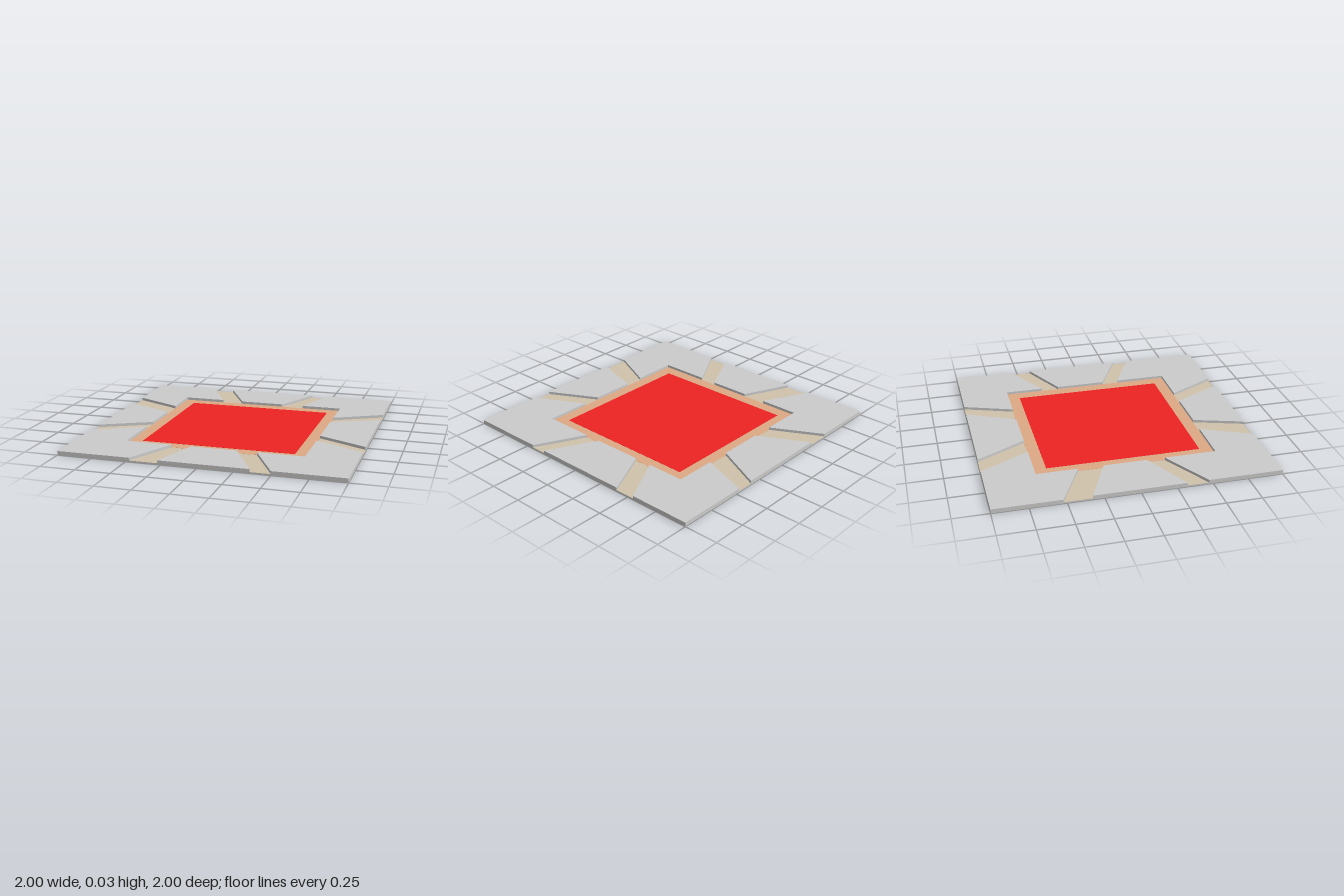
import * as THREE from 'three';

const BASE_TOP = 0.01;
const BLOCK_TOP = 0.03;
const INNER = 0.643; // half width of the plaza

const material = (color) => new THREE.MeshStandardMaterial({ color, flatShading: true });

// Flat slab from [x, z] corners, between two heights
function slab(name, corners, bottom, top, mat) {
  const shape = new THREE.Shape(corners.map(([x, z]) => new THREE.Vector2(x, -z)));
  const geometry = new THREE.ExtrudeGeometry(shape, { depth: top - bottom, bevelEnabled: false });
  geometry.rotateX(-Math.PI / 2).translate(0, bottom, 0);
  const mesh = new THREE.Mesh(geometry, mat);
  mesh.name = name;
  return mesh;
}

const square = (r) => [[-r, -r], [r, -r], [r, r], [-r, r]];

export function createModel() {
  const group = new THREE.Group();
  group.name = 'townSquare';
  const grey = material(0xcccccc);

  // Base plate, path layer and central plaza
  group.add(
    slab('basePlate', square(1), 0, 0.008, grey),
    slab('pathLayer', square(1), 0.008, BASE_TOP, material(0xd0c3ac)),
    slab('plazaBorder', square(INNER), BASE_TOP, 0.0108, material(0xdda985)),
    slab('plazaCentre', square(0.555), 0.0108, 0.0116, material(0xee2222))
  );

  // Each side has two paths; a path is [outer start, outer end, inner start, inner end],
  // measured along the side, going clockwise seen from above
  const sides = [
    { name: 'back', at: (t, d) => [t, -d],
      paths: [[-0.52, -0.355, -0.33, -0.165], [0.345, 0.47, 0.17, 0.34]] },
    { name: 'left', at: (t, d) => [d, t],
      paths: [[-0.55, -0.4, -0.36, -0.23], [0.32, 0.44, 0.14, 0.265]] },
    { name: 'front', at: (t, d) => [-t, d],
      paths: [[-0.5, -0.36, -0.31, -0.17], [0.275, 0.475, 0.16, 0.305]] },
    { name: 'right', at: (t, d) => [-d, -t],
      paths: [[-0.47, -0.32, -0.27, -0.14], [0.33, 0.525, 0.17, 0.35]] }
  ];

  sides.forEach((side, i) => {
    const [p, q] = side.paths;
    // Block between the two paths
    group.add(slab(side.name + 'MiddleBlock', [
      side.at(p[1], 1), side.at(q[0], 1), side.at(q[2], INNER), side.at(p[3], INNER)
    ], BASE_TOP, BLOCK_TOP, grey));
    // L-shaped block around the corner to the next side
    const next = sides[(i + 1) % 4];
    const n = next.paths[0];
    group.add(slab(side.name + 'CornerBlock', [
      side.at(q[1], 1), side.at(1, 1), next.at(n[0], 1),
      next.at(n[2], INNER), side.at(INNER, INNER), side.at(q[3], INNER)
    ], BASE_TOP, BLOCK_TOP, grey));
  });

  return group;
}
